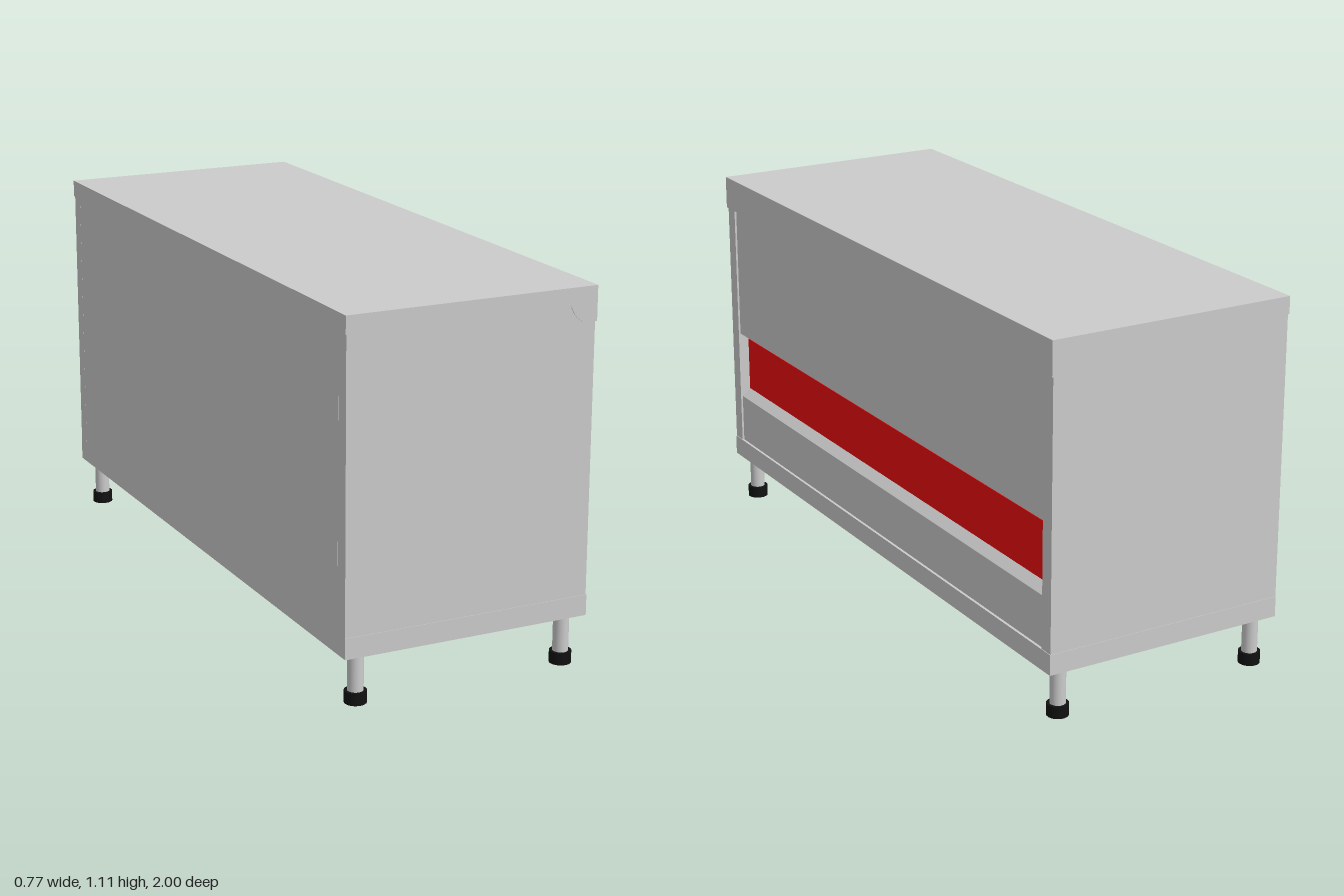
import * as THREE from 'three';

const grey = new THREE.MeshStandardMaterial({ color: 0xcccccc });
const red = new THREE.MeshStandardMaterial({ color: 0xee0e0e });
const black = new THREE.MeshStandardMaterial({ color: 0x111111 });

export function createModel() {
  const group = new THREE.Group();

  const add = (name, geometry, material, x = 0, y = 0, z = 0) => {
    const mesh = new THREE.Mesh(geometry, material);
    mesh.name = name;
    mesh.position.set(x, y, z);
    group.add(mesh);
    return mesh;
  };
  // Box given by its lower and upper corners
  const box = (name, [x0, y0, z0], [x1, y1, z1], material = grey) =>
    add(name, new THREE.BoxGeometry(x1 - x0, y1 - y0, z1 - z0), material,
      (x0 + x1) / 2, (y0 + y1) / 2, (z0 + z1) / 2);
  // Outline in x and y, extruded along z
  const extrude = (name, points, z, depth) => {
    const shape = new THREE.Shape(points.map(([x, y]) => new THREE.Vector2(x, y)));
    return add(name, new THREE.ExtrudeGeometry(shape, { depth, bevelEnabled: false }), grey, 0, 0, z);
  };

  // Base tray and worktop
  box('base', [-0.382, 0.148, -0.999], [0.382, 0.21, 0.999]);
  box('worktop', [-0.385, 1.058, -1], [0.385, 1.11, 1]);

  // Cabinet body with a sloped recess along its +x side
  extrude('body', [
    [-0.382, 0.21], [0.374, 0.21], [0.374, 0.365], [0.344, 0.39],
    [0.344, 0.562], [0.374, 0.585], [0.374, 1.058], [-0.382, 1.058],
  ], -0.952, 1.904);
  box('recessPanel', [0.34, 0.388, -0.952], [0.346, 0.562, 0.952], red);

  // Deep apron under the worktop on the +x side
  box('apron', [0.36, 1.008, -0.999], [0.385, 1.058, 0.999]);

  for (const s of [-1, 1]) {
    // End walls, closing the recess
    const wall = box('endWall', [-0.382, 0.21, -0.0225], [0.38, 1.058, 0.0225]);
    wall.position.z = s * 0.975;

    // Chamfered apron return at each end
    extrude('apronReturn', [
      [0.30, 1.06], [0.315, 1.03], [0.34, 1.01], [0.385, 1.008], [0.385, 1.06],
    ], s > 0 ? 0.99 : -1, 0.01);

    // Legs with black feet
    for (const t of [-1, 1]) {
      add('leg', new THREE.CylinderGeometry(0.023, 0.023, 0.13, 32), grey, t * 0.328, 0.09, s * 0.955);
      add('foot', new THREE.CylinderGeometry(0.032, 0.032, 0.036, 32), black, t * 0.328, 0.018, s * 0.955);
    }
  }
  return group;
}
